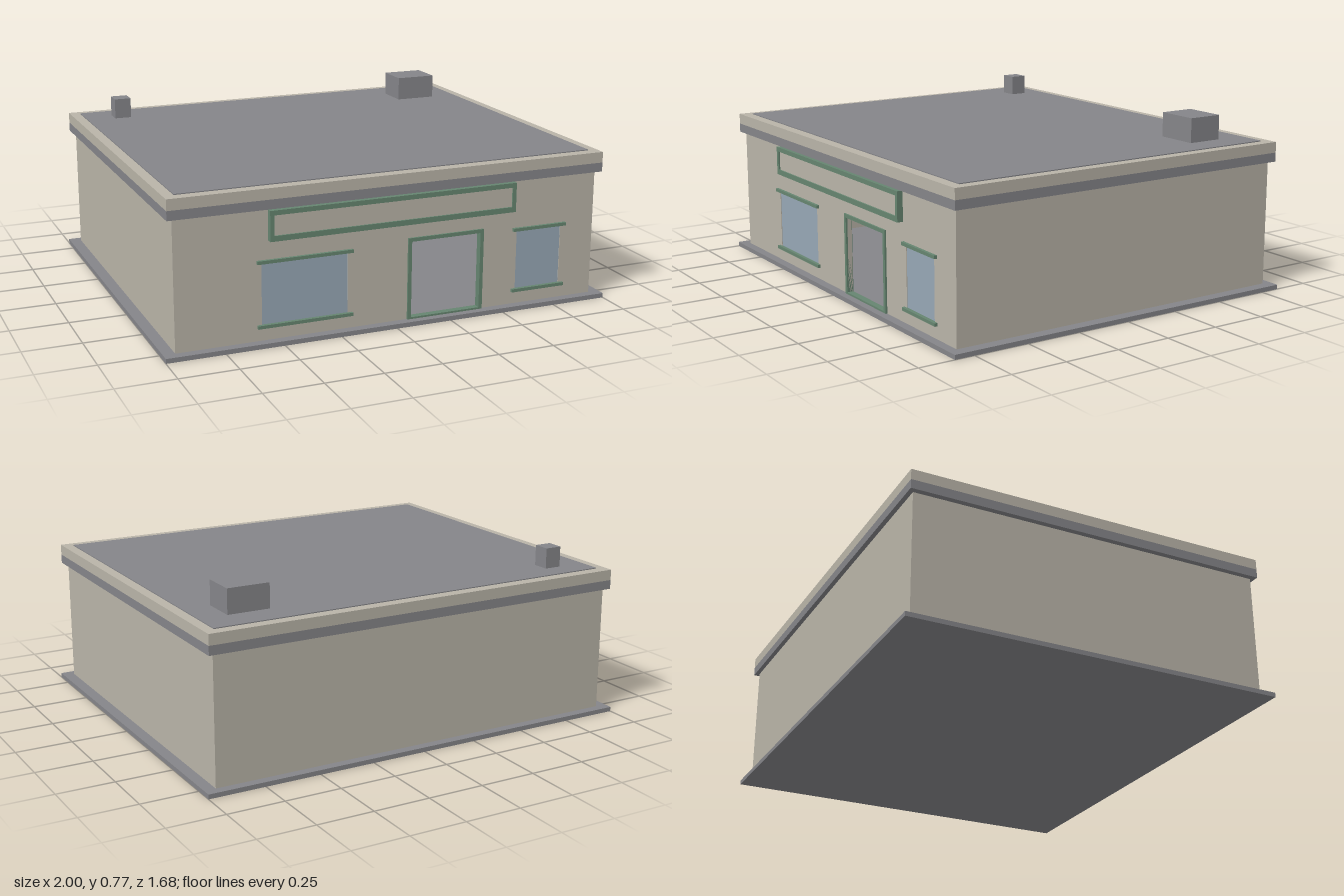
import * as THREE from 'three';

const mat = (name, color) => {
  const m = new THREE.MeshStandardMaterial({ color });
  m.name = name;
  return m;
};

export function createModel() {
  const wall = mat('beige plaster', 0xb9b4a8);
  const grey = mat('grey concrete', 0x858589);
  const green = mat('green trim', 0x668570);
  const glass = mat('blue glass', 0x97a7b5);

  const model = new THREE.Group();
  model.name = 'shop';

  // Box given by its limits on each axis
  const box = (name, material, x0, x1, y0, y1, z0, z1) => {
    const mesh = new THREE.Mesh(new THREE.BoxGeometry(x1 - x0, y1 - y0, z1 - z0), material);
    mesh.position.set((x0 + x1) / 2, (y0 + y1) / 2, (z0 + z1) / 2);
    mesh.name = name;
    model.add(mesh);
    return mesh;
  };

  const rect = (Type, x0, x1, y0, y1) => {
    const p = new Type();
    p.moveTo(x0, y0);
    p.lineTo(x1, y0);
    p.lineTo(x1, y1);
    p.lineTo(x0, y1);
    p.closePath();
    return p;
  };

  // Upright panel with rectangular openings
  const panel = (name, material, outer, holes, z0, z1) => {
    const shape = rect(THREE.Shape, ...outer);
    holes.forEach((h) => shape.holes.push(rect(THREE.Path, ...h)));
    const geo = new THREE.ExtrudeGeometry(shape, { depth: z1 - z0, bevelEnabled: false });
    const mesh = new THREE.Mesh(geo, material);
    mesh.position.z = z0;
    mesh.name = name;
    model.add(mesh);
  };

  // Ground slab, which is also the floor
  box('groundSlab', grey, -1, 1, 0, 0.02, -0.84, 0.84);

  // Hollow walls, the front one with openings
  const windows = [[-0.595, -0.2, 0.085, 0.352], [0.565, 0.8, 0.085, 0.352]];
  const doorway = [0.076, 0.396, 0.02, 0.36];
  panel('frontWall', wall, [-0.95, 0.95, 0.02, 0.58], [...windows, doorway], 0.78, 0.8);
  box('backWall', wall, -0.95, 0.95, 0.02, 0.58, -0.8, -0.78);
  for (const s of [-1, 1]) {
    box('sideWall', wall, s * 0.94 - 0.01, s * 0.94 + 0.01, 0.02, 0.58, -0.78, 0.78);
  }

  // Cornice, parapet and roof
  box('cornice', grey, -0.975, 0.975, 0.573, 0.613, -0.82, 0.82);
  box('parapet', wall, -0.975, 0.975, 0.613, 0.66, -0.82, 0.82);
  box('roof', grey, -0.93, 0.93, 0.65, 0.664, -0.772, 0.772);

  // Rooftop units
  box('chimney', grey, -0.802, -0.726, 0.66, 0.755, -0.676, -0.6);
  box('airUnit', grey, 0.62, 0.808, 0.66, 0.772, -0.638, -0.48);

  // Windows with slim side posts, sills and lintels
  for (const [x0, x1, y0, y1] of windows) {
    box('windowGlass', glass, x0 + 0.01, x1 - 0.01, y0, y1, 0.788, 0.797);
    box('windowPost', wall, x0, x0 + 0.01, y0, y1, 0.785, 0.8);
    box('windowPost', wall, x1 - 0.01, x1, y0, y1, 0.785, 0.8);
    for (const y of [0.081, 0.354]) {
      box('windowSill', green, x0 - 0.01, x1 + 0.01, y - 0.007, y + 0.007, 0.78, 0.813);
    }
  }

  // Door frame around the open doorway
  const frame = rect(THREE.Shape, 0.06, 0.412, 0.02, 0.376);
  frame.holes.push(rect(THREE.Path, 0.076, 0.396, 0.028, 0.36));
  const doorFrame = new THREE.Mesh(
    new THREE.ExtrudeGeometry(frame, { depth: 0.03, bevelEnabled: false }), green);
  doorFrame.position.z = 0.778;
  doorFrame.name = 'doorFrame';
  model.add(doorFrame);

  // Blank sign board in a raised frame
  box('signBacking', green, -0.555, 0.552, 0.44, 0.568, 0.8, 0.815);
  panel('signFrame', green, [-0.555, 0.552, 0.44, 0.568],
    [[-0.538, 0.535, 0.463, 0.548]], 0.815, 0.826);
  box('signFace', wall, -0.538, 0.535, 0.463, 0.548, 0.815, 0.819);

  // Shelf unit with boxes, standing inside against the back wall
  for (let i = 0; i < 3; i++) {
    const y = 0.034 + i * 0.09;
    box('shelf', wall, -0.35, 0.153, y - 0.004, y + 0.004, -0.775, -0.62);
    for (let j = 0; j < 5; j++) {
      const x = 0.1 - j * 0.1;
      box('shelfBox', wall, x, x + 0.05, y + 0.004, y + 0.055, -0.75, -0.65);
    }
  }
  for (const x of [-0.35, 0.148]) {
    box('shelfUpright', wall, x, x + 0.005, 0.02, 0.27, -0.775, -0.765);
  }

  return model;
}
